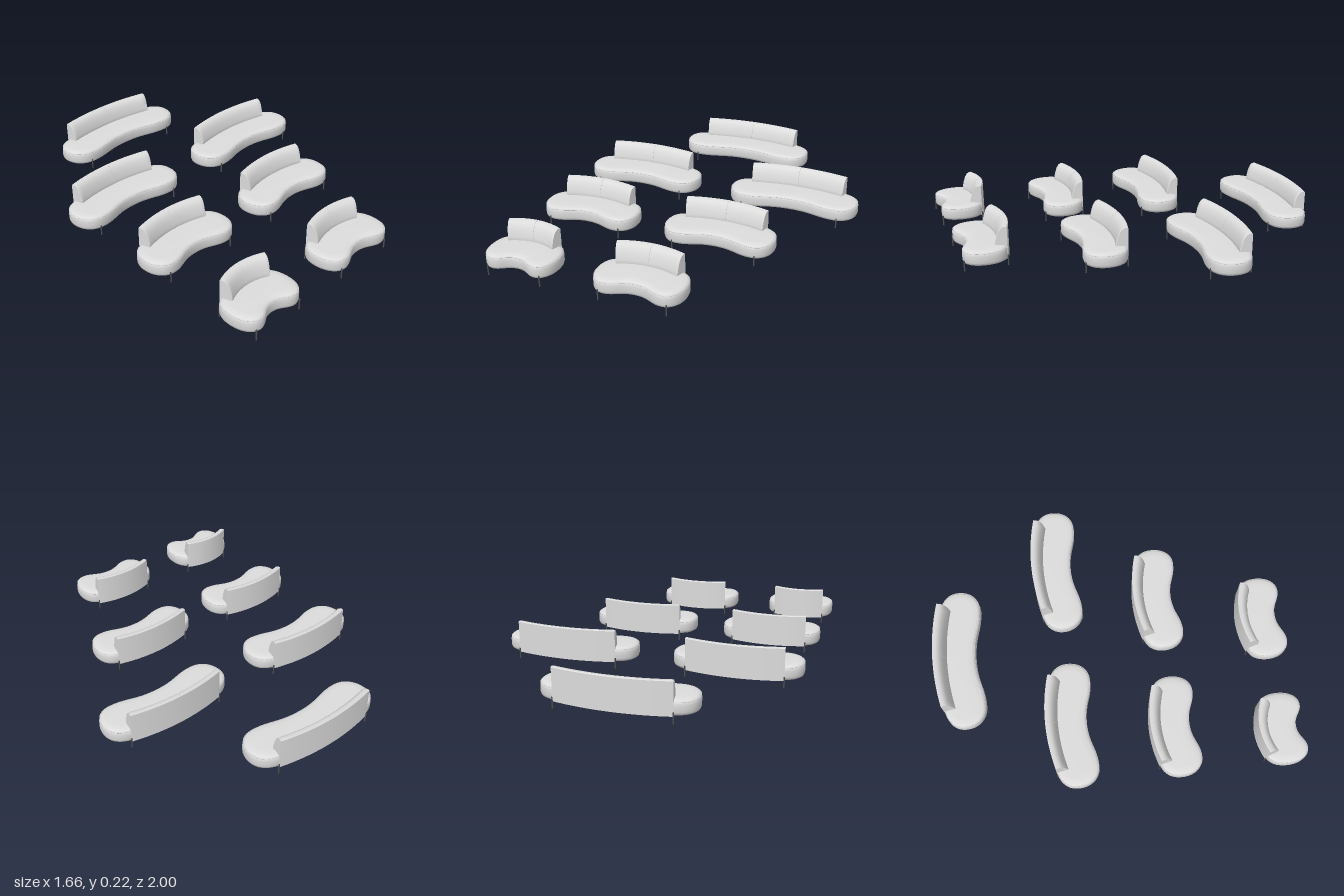
import * as THREE from 'three';
import { toCreasedNormals } from 'three/addons/utils/BufferGeometryUtils.js';

const fabric = new THREE.MeshStandardMaterial({ name: 'light grey fabric', color: 0xdcdcdc });
const metal = new THREE.MeshStandardMaterial({ name: 'dark metal', color: 0x505050 });

const DEPTH = 0.265, DROP = 0.035;

// [centre x, rear z, half width, has a middle leg]
const SOFAS = [
  [-0.032, -0.998, 0.404, true],
  [-0.48, -0.41, 0.35, true],
  [0.455, -0.41, 0.376, true],
  [-0.55, 0.152, 0.281, false],
  [0.212, 0.152, 0.309, false],
  [-0.63, 0.732, 0.2, false],
  [0.027, 0.732, 0.242, false],
];

// Skin closed rings and cap both ends; flat() projects a ring to 2D for the caps
function loft(rings, flat) {
  const n = rings[0].length, pos = rings.flat().flatMap(p => [p.x, p.y, p.z]), idx = [];
  for (let k = 0; k < rings.length - 1; k++) {
    for (let i = 0; i < n; i++) {
      const j = (i + 1) % n, a = k * n + i, b = k * n + j;
      idx.push(a, a + n, b, b, a + n, b + n);
    }
  }
  const last = rings.length - 1;
  const along = rings[last][0].clone().sub(rings[0][0]);
  for (const [k, sign] of [[0, -1], [last, 1]]) {
    const r = rings[k];
    for (const [a, b, c] of THREE.ShapeUtils.triangulateShape(r.map(flat), [])) {
      const nrm = r[b].clone().sub(r[a]).cross(r[c].clone().sub(r[a]));
      if (nrm.dot(along) * sign > 0) idx.push(k * n + a, k * n + b, k * n + c);
      else idx.push(k * n + a, k * n + c, k * n + b);
    }
  }
  const g = new THREE.BufferGeometry();
  g.setAttribute('position', new THREE.Float32BufferAttribute(pos, 3));
  g.setIndex(idx);
  return toCreasedNormals(g, 0.75);
}

// Bean-shaped plan: arched rear, round ends, hollow front
function beanOutline(hw) {
  const xs = 0.75 * hw, slope = 2 * DROP / xs, lobe = hw - (0.045 + 0.175 * hw);
  const half = new THREE.Path();
  half.moveTo(0, 0);
  half.quadraticCurveTo(xs / 2, 0, xs, DROP);
  const h = (hw - xs) * 0.6;
  half.bezierCurveTo(xs + h, DROP + h * slope, hw, 0.085, hw, 0.145);
  half.bezierCurveTo(hw, 0.215, lobe + (hw - lobe) * 0.6, DEPTH, lobe, DEPTH);
  half.bezierCurveTo(lobe * 0.6, DEPTH, lobe * 0.5, 0.222, 0, 0.222);
  const right = half.getSpacedPoints(44);
  const left = right.slice(1, -1).reverse().map(p => new THREE.Vector2(-p.x, p.y));
  return [...right, ...left];
}

// Move the outline inwards along its normals
function inset(pts, d, y) {
  const n = pts.length;
  return pts.map((p, i) => {
    const t = pts[(i + 1) % n].clone().sub(pts[(i + n - 1) % n]).normalize();
    return new THREE.Vector3(p.x - t.y * d, y, p.y + t.x * d);
  });
}

function add(group, name, geometry, material) {
  const mesh = new THREE.Mesh(geometry, material);
  mesh.name = name;
  group.add(mesh);
  return mesh;
}

function makeSofa(hw, middleLeg) {
  const sofa = new THREE.Group();
  const xs = 0.75 * hw, outline = beanOutline(hw);

  // Seat cushion with rounded edges and a slightly domed top
  const levels = [[0.014, 0.037], [0.004, 0.043], [0, 0.055], [0, 0.09],
    [0.002, 0.103], [0.008, 0.111], [0.018, 0.115], [0.045, 0.117]];
  const rings = levels.map(([d, y]) => inset(outline, d, y));
  add(sofa, 'seat', loft(rings, p => new THREE.Vector2(p.x, p.z)), fabric);

  // Piping around the seat
  const rim = new THREE.CatmullRomCurve3(inset(outline, 0.003, 0.105), true);
  add(sofa, 'seatPiping', new THREE.TubeGeometry(rim, 120, 0.0015, 5, true), fabric);

  // Curved backrest whose rear panel runs down to the base
  const profile = [[0.065, 0.105], [0.061, 0.135], [0.053, 0.167], [0.043, 0.191], [0.031, 0.207],
    [0.018, 0.214], [0.002, 0.215], [-0.002, 0.211], [-0.002, 0.037], [0.02, 0.037]];
  const section = (x, thickness = 1) => {
    const s = 2 * DROP * x / (xs * xs), z = DROP * (x / xs) ** 2;
    return profile.map(([t, y]) => new THREE.Vector3(x - 0.6 * s * t, y, z + t * thickness));
  };
  const slices = Array.from({ length: 25 }, (_, i) => section((xs - 0.005) * (i / 12 - 1)));
  slices.unshift(section(-xs, 0.93));
  slices.push(section(xs, 0.93));
  add(sofa, 'backrest', loft(slices, p => new THREE.Vector2(p.z, p.y)), fabric);

  // Centre seam over the front of the backrest
  const seam = new THREE.CatmullRomCurve3(section(0).slice(0, 7), false, 'centripetal');
  add(sofa, 'backrestSeam', new THREE.TubeGeometry(seam, 30, 0.0012, 5), fabric);

  // Slim legs clipped to the outer edge
  const leg = new THREE.CylinderGeometry(0.0038, 0.0038, 0.06, 10);
  for (const side of [-1, 1]) {
    add(sofa, 'rearLeg', leg, metal).position.set(side * xs, 0.03, DROP - 0.002);
    add(sofa, 'frontLeg', leg, metal).position.set(side * xs, 0.03, DEPTH - 0.002);
  }
  if (middleLeg) add(sofa, 'middleLeg', leg, metal).position.set(0, 0.03, 0.135);
  return sofa;
}

export function createModel() {
  const model = new THREE.Group();
  model.name = 'curvedSofas';
  SOFAS.forEach(([x, z, hw, middleLeg], i) => {
    const sofa = makeSofa(hw, middleLeg);
    sofa.name = 'sofa' + (i + 1);
    sofa.position.set(x, 0, z);
    model.add(sofa);
  });
  return model;
}
